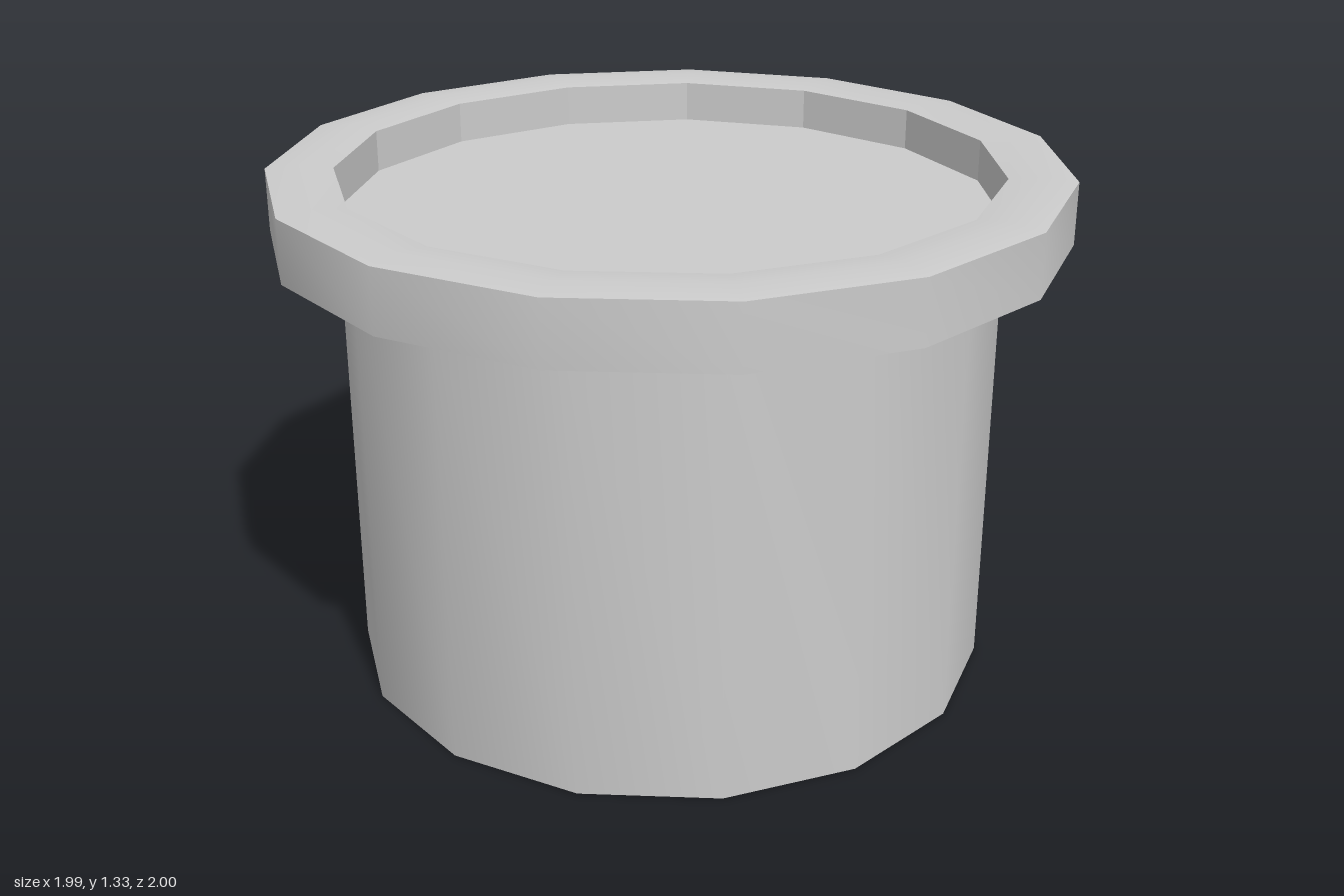
import * as THREE from 'three';
import { toCreasedNormals } from 'three/addons/utils/BufferGeometryUtils.js';

const SIDES = 15;
const BODY_R = 0.836, RIM_R = 1.0055, MID_R = 0.92;
const FLOOR_Y = 1.212;

export function createModel() {
  const group = new THREE.Group();
  const material = new THREE.MeshStandardMaterial({ color: 0xcccccc });

  const add = (name, geometry) => {
    const mesh = new THREE.Mesh(geometry, material);
    mesh.name = name;
    group.add(mesh);
  };

  // Spin a profile of [radius, y] with a corner on +x; creases keep the rim sharp
  const spin = (profile, crease = 0.5) => toCreasedNormals(
    new THREE.LatheGeometry(profile.map(([r, y]) => new THREE.Vector2(r, y)), SIDES, Math.PI / 2),
    crease,
  );

  const disc = (y, facing) => new THREE.CircleGeometry(BODY_R, SIDES)
    .rotateX(-facing * Math.PI / 2).translate(0, y, 0);

  // Straight body
  add('body', spin([[BODY_R, 0], [BODY_R, 1.16]]));
  add('base', disc(0, -1));

  // Overhanging rim, slightly ridged above and below
  add('rim', spin([
    [BODY_R, 1.16], [MID_R, 1.15], [RIM_R, 1.16],
    [RIM_R, 1.32], [MID_R, 1.33], [BODY_R, 1.32],
  ]));

  // Shallow recess in the top
  add('recessWall', spin([[BODY_R, 1.32], [BODY_R, FLOOR_Y]], 0.1));
  add('recessFloor', disc(FLOOR_Y, 1));

  // Centre the odd-sided outline on x
  const shift = -RIM_R * (1 - Math.cos(Math.PI / SIDES)) / 2;
  group.children.forEach((mesh) => { mesh.position.x = shift; });
  return group;
}
